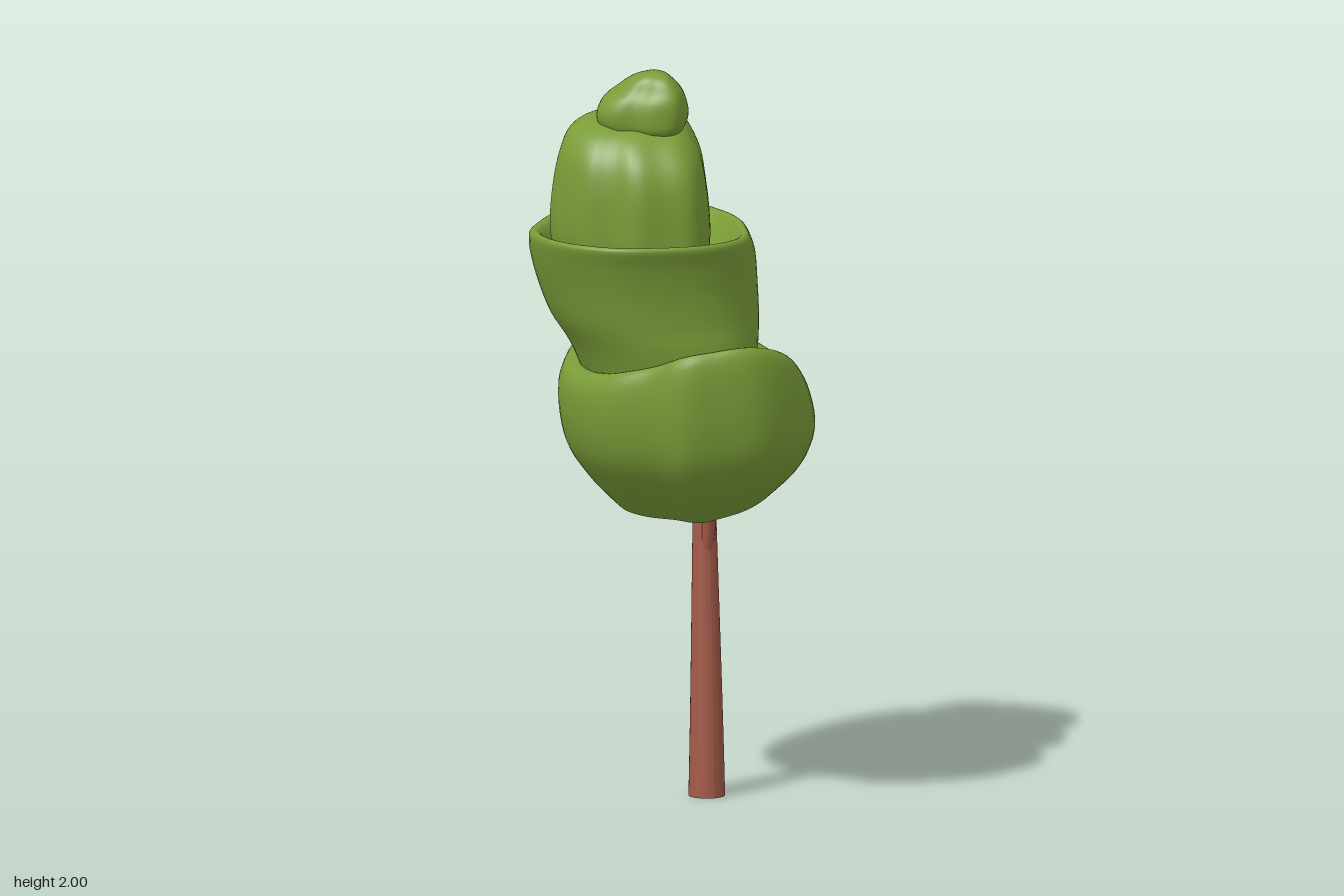
import * as THREE from 'three';

const leafMat = new THREE.MeshStandardMaterial({ color: 0x7a9c38, side: THREE.DoubleSide });
const barkMat = new THREE.MeshStandardMaterial({ color: 0xa35a49 });
const RING = 72, STEPS = 4;

// Smooth closed plan outline [x, z], normalised to a 0..1 box
function outline(points) {
  const curve = new THREE.CatmullRomCurve3(points.map(([x, z]) => new THREE.Vector3(x, 0, z)), true);
  const ring = curve.getSpacedPoints(RING).slice(0, RING);
  const box = new THREE.Box3().setFromPoints(ring);
  const size = box.getSize(new THREE.Vector3());
  return ring.map(p => [(p.x - box.min.x) / size.x, (p.z - box.min.z) / size.z]);
}

// Catmull-Rom blend of two neighbouring rows of section numbers
function blend(rows, i, t) {
  const row = k => rows[Math.min(Math.max(k, 0), rows.length - 1)];
  return rows[0].map((_, c) => {
    const [a, b, d, e] = [row(i - 1)[c], row(i)[c], row(i + 1)[c], row(i + 2)[c]];
    return b + 0.5 * t * (d - a + t * (2 * a - 5 * b + 4 * d - e + t * (3 * (b - d) + e - a)));
  });
}

// Loft an outline through sections [y, xMin, xMax, zMin, zMax, lift weights...]
function tier(name, points, sections, lift) {
  const ring = outline(points), pos = [], index = [];
  const rows = [];
  for (let i = 0; i < sections.length - 1; i++)
    for (let s = 0; s < STEPS; s++) rows.push(blend(sections, i, s / STEPS));
  rows.push(sections[sections.length - 1]);
  for (const [y, x0, x1, z0, z1, ...w] of rows)
    for (const [u, v] of ring) {
      const x = x0 + (x1 - x0) * u, z = z0 + (z1 - z0) * v;
      pos.push(x, y + lift(x, z, w), z);
    }
  for (let r = 0; r < rows.length - 1; r++)
    for (let k = 0; k < RING; k++) {
      const n = (k + 1) % RING, a = r * RING + k, b = r * RING + n;
      index.push(a, a + RING, b, b, a + RING, b + RING);
    }
  const geo = new THREE.BufferGeometry();
  geo.setAttribute('position', new THREE.Float32BufferAttribute(pos, 3));
  geo.setIndex(index);
  geo.computeVertexNormals();
  const mesh = new THREE.Mesh(geo, leafMat);
  mesh.name = name;
  return mesh;
}

export function createModel() {
  const tree = new THREE.Group();
  tree.name = 'tree';

  // Bottom tier: open below, saddle-shaped rolled rim on top
  tree.add(tier('bottomFoliage', [
    [-0.3, 0.05], [-0.28, -0.1], [-0.22, -0.21], [-0.16, -0.28], [-0.05, -0.37], [0.05, -0.42], [0.18, -0.44],
    [0.27, -0.4], [0.35, -0.28], [0.4, -0.13], [0.38, -0.03], [0.35, 0.1], [0.32, 0.22], [0.26, 0.33],
    [0.18, 0.4], [0.07, 0.44], [-0.05, 0.42], [-0.14, 0.39], [-0.19, 0.3], [-0.27, 0.2],
  ], [
    [0.785, -0.12, 0.30, -0.36, 0.23, 0, 1],
    [0.86, -0.2, 0.36, -0.40, 0.33, 0, 0.75],
    [0.95, -0.27, 0.39, -0.43, 0.40, 0, 0.35],
    [1.04, -0.3, 0.4, -0.44, 0.43, 0, 0.1],
    [1.13, -0.305, 0.37, -0.44, 0.44, 0.4, 0],
    [1.175, -0.285, 0.32, -0.415, 0.43, 0.9, 0],
    [1.185, -0.25, 0.27, -0.37, 0.39, 1.05, 0],
    [1.165, -0.22, 0.22, -0.3, 0.31, 0.7, 0],
    [1.06, -0.2, 0.2, -0.25, 0.25, 0, 0],
  ], (x, z, [top, bottom]) =>
    top * 0.1 * Math.min((z / 0.4) ** 2, 1.1) +
    bottom * (0.26 * Math.max(x, 0) + 0.8 * Math.min(z, 0) ** 2)));

  // Second tier: flares outward into a cupped rim, highest at the back
  tree.add(tier('lowerMiddleFoliage', [
    [-0.4, 0.05], [-0.38, -0.1], [-0.3, -0.2], [-0.2, -0.27], [-0.12, -0.3], [-0.03, -0.32], [0.07, -0.36],
    [0.15, -0.33], [0.2, -0.25], [0.24, -0.13], [0.23, 0], [0.2, 0.1], [0.15, 0.22], [0.1, 0.28],
    [0.02, 0.32], [-0.06, 0.33], [-0.17, 0.31], [-0.27, 0.27], [-0.34, 0.2], [-0.38, 0.13],
  ], [
    [1.0, 0, 0, 0, 0, 0],
    [1.02, -0.16, 0.16, -0.22, 0.22, 0],
    [1.14, -0.23, 0.22, -0.28, 0.28, 0],
    [1.25, -0.28, 0.23, -0.31, 0.30, 0],
    [1.33, -0.33, 0.245, -0.335, 0.295, 0],
    [1.42, -0.365, 0.245, -0.355, 0.30, 0.2],
    [1.50, -0.39, 0.235, -0.355, 0.315, 0.6],
    [1.55, -0.4, 0.21, -0.335, 0.33, 1],
    [1.56, -0.385, 0.19, -0.31, 0.315, 1],
    [1.535, -0.36, 0.165, -0.285, 0.29, 1],
    [1.45, -0.33, 0.1, -0.24, 0.26, 0],
  ], (x, z, [w]) => w * Math.max(0, -z - 0.1) ** 2));

  // Third tier: bell with soft vertical folds
  tree.add(tier('upperMiddleFoliage', [
    [-0.35, 0.05], [-0.35, -0.03], [-0.3, -0.1], [-0.22, -0.15], [-0.15, -0.18], [-0.1, -0.22], [-0.02, -0.24],
    [0.03, -0.2], [0.08, -0.13], [0.1, -0.07], [0.08, 0.05], [0.04, 0.15], [0, 0.23], [-0.07, 0.29],
    [-0.15, 0.27], [-0.22, 0.25], [-0.27, 0.18], [-0.32, 0.14],
  ], [
    [1.42, -0.3, 0.06, -0.2, 0.25, 0],
    [1.52, -0.34, 0.095, -0.235, 0.285, 0],
    [1.6, -0.35, 0.1, -0.235, 0.29, 0],
    [1.7, -0.345, 0.085, -0.215, 0.285, 0],
    [1.78, -0.33, 0.07, -0.185, 0.26, 0.5],
    [1.84, -0.295, 0.045, -0.165, 0.21, 1],
    [1.865, -0.23, 0.02, -0.135, 0.15, 1],
    [1.86, -0.17, -0.03, -0.07, 0.11, 1],
    [1.84, -0.1, -0.1, 0.05, 0.05, 1],
  ], (x, z, [w]) => -0.08 * w * z));

  // Rounded tip
  tree.add(tier('topFoliage', [
    [-0.24, 0.05], [-0.22, 0], [-0.18, -0.05], [-0.12, -0.08], [-0.06, -0.095], [-0.01, -0.07], [0.01, -0.02],
    [0.02, 0.03], [0, 0.1], [-0.03, 0.16], [-0.08, 0.2], [-0.14, 0.18], [-0.18, 0.14], [-0.22, 0.11],
  ], [
    [1.8, -0.18, -0.03, -0.04, 0.14],
    [1.84, -0.225, 0, -0.085, 0.19],
    [1.88, -0.24, 0.02, -0.095, 0.2],
    [1.92, -0.225, 0.01, -0.085, 0.2],
    [1.95, -0.19, -0.01, -0.05, 0.19],
    [1.98, -0.16, -0.045, 0.01, 0.17],
    [1.995, -0.13, -0.07, 0.06, 0.14],
    [2.0, -0.1, -0.1, 0.1, 0.1],
  ], () => 0));

  // Trunk: tapered cylinder with a slight backward bend
  const height = 1.05;
  const trunkGeo = new THREE.CylinderGeometry(0.025, 0.049, height, 24, 12);
  trunkGeo.translate(0.107, height / 2, -0.015);
  const p = trunkGeo.attributes.position;
  for (let i = 0; i < p.count; i++) {
    const t = p.getY(i) / height;
    p.setZ(i, p.getZ(i) - 0.018 * t * t * (3 - 2 * t));
  }
  trunkGeo.computeVertexNormals();
  const trunk = new THREE.Mesh(trunkGeo, barkMat);
  trunk.name = 'trunk';

  // Side branch curving forward into the foliage
  const path = new THREE.CatmullRomCurve3([[0.6, -0.025], [0.7, -0.005], [0.8, 0.025], [0.88, 0.065], [1.04, 0.16]]
    .map(([y, z]) => new THREE.Vector3(0.105, y, z)));
  const branch = new THREE.Mesh(new THREE.TubeGeometry(path, 24, 0.018, 16), barkMat);
  branch.name = 'branch';

  tree.add(trunk, branch);
  return tree;
}
